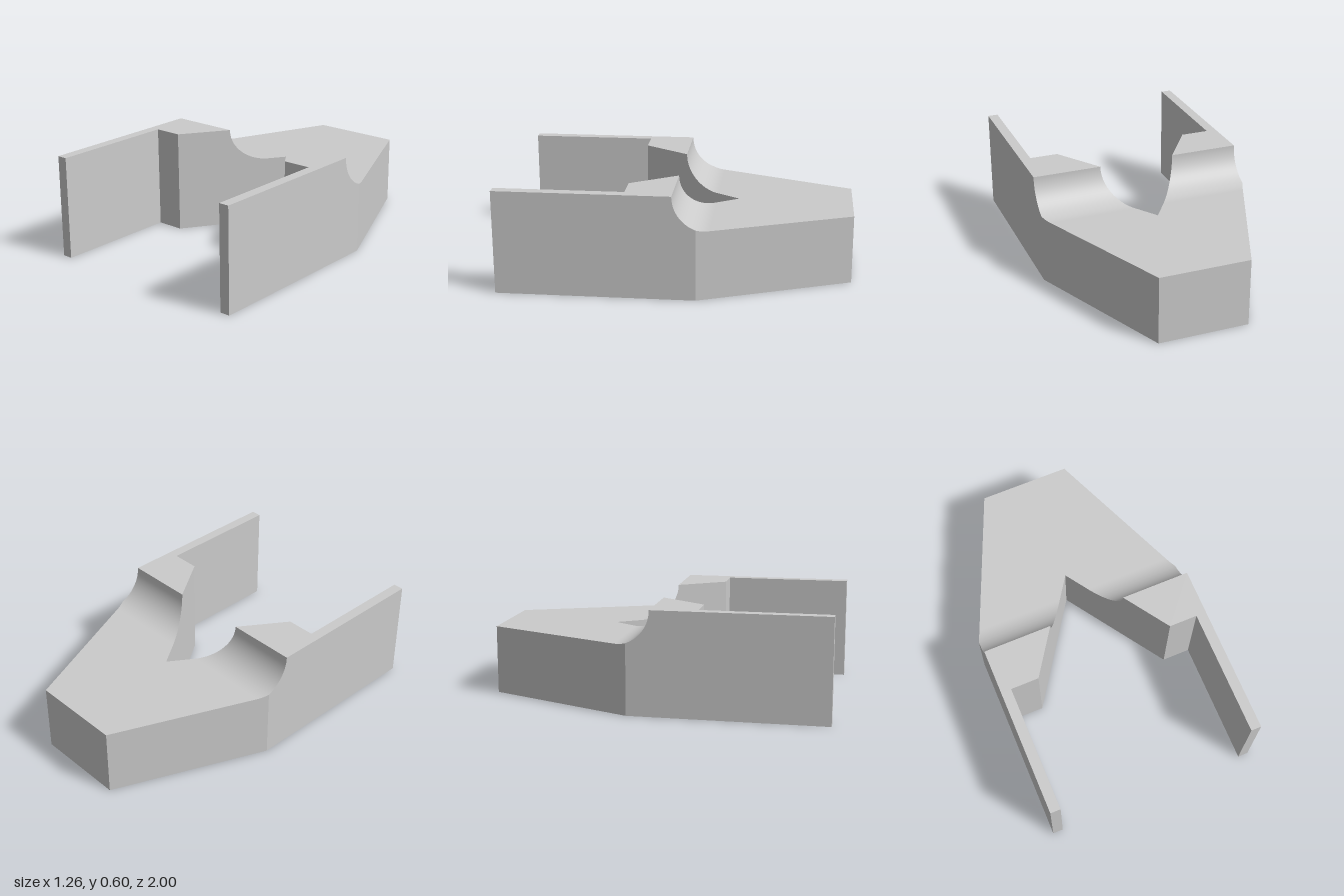
import * as THREE from 'three';
import { toCreasedNormals } from 'three/addons/utils/BufferGeometryUtils.js';

const HIGH = 0.6, LOW = 0.4, R = 0.2;            // front height, rear height, fillet radius
const TIP = -0.335, STEP = 0.265, BEND = -0.133; // notch tip, arm start, bend of the outer wall
const lerp = THREE.MathUtils.lerp;

// Plan outline and height of one half at depth z
const outer = z => (z < BEND ? lerp(0.265, 0.63, (z + 1) / (BEND + 1)) : 0.63);
const notch = z => (z < TIP ? 0 : lerp(0, 0.405, (z - TIP) / (STEP - TIP)));
const height = z => {
  if (z >= 0) return HIGH;
  return z <= -R ? LOW : HIGH - Math.sqrt(Math.max(0, R * R - (z + R) ** 2));
};

// Rectangular cross-section: inner bottom, outer bottom, outer top, inner top
const section = (z, inner = notch(z)) => [
  [inner, 0, z], [outer(z), 0, z], [outer(z), height(z), z], [inner, height(z), z],
];

function bodyGeometry() {
  // Depths of the cross-sections, with a fine run through the concave fillet
  const depths = [-1, TIP, -R - 0.005, BEND, STEP];
  for (let i = 0; i <= 24; i++) depths.push(-R + R * Math.sin((i / 24) * Math.PI / 2));
  depths.sort((a, b) => a - b);

  // The section jumps inward at the step, then runs on as a thin arm
  const sections = depths.map(z => section(z));
  sections.push(section(STEP, 0.57), section(1, 0.57));

  const positions = [];
  const triangle = (a, b, c) => {
    const [p, q, r] = [a, b, c].map(v => new THREE.Vector3(...v));
    if (q.sub(p).cross(r.sub(p)).length() < 1e-9) return;
    positions.push(...a, ...b, ...c);
    for (const [x, y, z] of [a, c, b]) positions.push(-x, y, z); // mirrored half
  };
  const quad = (a, b, c, d) => { triangle(a, b, c); triangle(a, c, d); };

  // Walls between neighbouring sections; none along the centre plane
  for (let k = 0; k < sections.length - 1; k++) {
    const p = sections[k], q = sections[k + 1];
    for (let i = 0; i < 4; i++) {
      const j = (i + 1) % 4;
      if (i === 3 && p[0][0] === 0 && q[0][0] === 0) continue;
      quad(p[i], p[j], q[j], q[i]);
    }
  }
  // Rear face and arm ends
  quad(...[...sections[0]].reverse());
  quad(...sections[sections.length - 1]);

  const geometry = new THREE.BufferGeometry();
  geometry.setAttribute('position', new THREE.Float32BufferAttribute(positions, 3));
  return toCreasedNormals(geometry, 0.25);
}

export function createModel() {
  const group = new THREE.Group();
  group.name = 'notchedBracket';
  const body = new THREE.Mesh(bodyGeometry(), new THREE.MeshStandardMaterial({ color: 0xcccccc }));
  body.name = 'bodyWithArms';
  group.add(body);
  return group;
}
